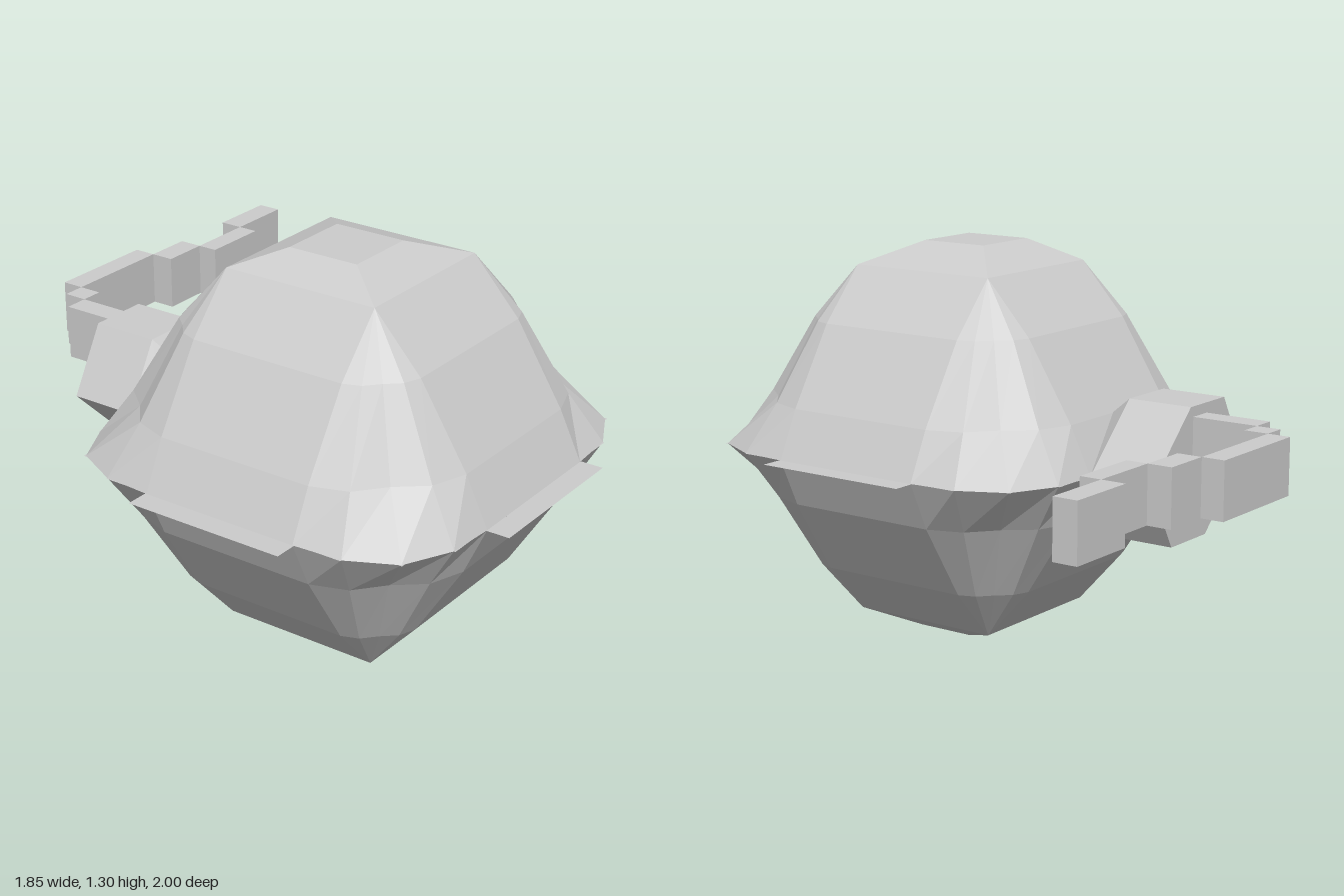
import * as THREE from 'three';

// Skin a list of closed rings (arrays of [x, y, z]) and cap both ends
function loft(rings) {
  const pos = [], n = rings[0].length;
  const tri = (a, b, c) => pos.push(...a, ...b, ...c);
  for (let i = 0; i < rings.length - 1; i++) {
    for (let j = 0; j < n; j++) {
      const k = (j + 1) % n;
      const a = rings[i][j], b = rings[i][k], c = rings[i + 1][k], d = rings[i + 1][j];
      tri(a, b, c);
      tri(a, c, d);
    }
  }
  const first = rings[0], last = rings[rings.length - 1];
  for (let j = 1; j < n - 1; j++) {
    tri(first[0], first[j + 1], first[j]);
    tri(last[0], last[j], last[j + 1]);
  }
  const g = new THREE.BufferGeometry();
  g.setAttribute('position', new THREE.Float32BufferAttribute(pos, 3));
  g.computeVertexNormals();
  return g;
}

// Repeat one corner's points around the four quadrants
function fourCorners(corner) {
  const out = [];
  let pts = corner;
  for (let q = 0; q < 4; q++) {
    out.push(...pts);
    pts = pts.map(([x, z]) => [z, -x]);
  }
  return out;
}

export function createModel() {
  const model = new THREE.Group();
  const grey = new THREE.MeshStandardMaterial({ color: 0xcccccc, flatShading: true, side: THREE.DoubleSide });
  grey.name = 'light grey';
  const CX = -0.19, CZ = 0.265, MID = 0.645;

  const add = (name, geometry, parent = model) => {
    const mesh = new THREE.Mesh(geometry, grey);
    mesh.name = name;
    parent.add(mesh);
    return mesh;
  };

  // Faceted round body: four flat strips with corners that widen to the middle
  // level: [y, strip distance, bevel point along, bevel point out, corner, centre x, centre z, strip half width]
  const levels = [
    [0, 0.1, 0.1, 0.1, 0.1, -0.14, 0.265, 0.1],
    [0.06, 0.265, 0.265, 0.265, 0.265, CX, CZ, 0.265],
    [0.235, 0.425, 0.32, 0.405, 0.36, CX, CZ, 0.265],
    [0.485, 0.585, 0.38, 0.545, 0.455, CX, CZ, 0.265],
    [MID, 0.66, 0.425, 0.65, 0.575, CX, CZ, 0.265],
    [0.8, 0.585, 0.38, 0.545, 0.455, CX, CZ, 0.265],
    [1.055, 0.425, 0.32, 0.405, 0.36, CX, CZ, 0.265],
    [1.23, 0.265, 0.265, 0.265, 0.265, CX, CZ, 0.265],
    [1.3, 0.12, 0.12, 0.12, 0.12, -0.237, 0.28, 0.12],
  ];
  add('body', loft(levels.map(([y, r, along, out, c, cx, cz, w]) =>
    fourCorners([[r, -w], [out, -along], [c, -c], [along, -out], [w, -r]])
      .map(([x, z]) => [cx + x, y, cz + z]))));

  // Flat stepped rim around the middle
  const steps = [[0.735, 0.27], [0.655, 0.27], [0.655, 0.425], [0.58, 0.425], [0.58, 0.58],
    [0.425, 0.58], [0.425, 0.655], [0.27, 0.655], [0.27, 0.735]];
  const outline = fourCorners(steps.map(([x, z]) => [x, -z])).map(([x, z]) => new THREE.Vector2(x, -z));
  const rim = add('rim', new THREE.ShapeGeometry(new THREE.Shape(outline)).rotateX(-Math.PI / 2));
  rim.position.set(CX, MID, CZ);

  // Six-sided neck at the back with a tapered inner end
  const neckRing = (z, h, w) => [[w, 0], [0.1 * w / 0.27 - 0.05, h], [-0.1 * w / 0.27 - 0.05, h],
    [-w, 0], [-0.05, -h], [0.15, -h]].map(([x, y]) => [CX + x, MID + y, z]);
  add('neck', loft([neckRing(-0.62, 0.213, 0.27), neckRing(-0.395, 0.213, 0.27), neckRing(-0.31, 0.15, 0.2)]));

  // Fuse made of stepped blocks: [x0, x1, z0, z1]
  const fuse = new THREE.Group();
  fuse.name = 'fuse';
  model.add(fuse);
  const blocks = [
    [-0.235, -0.155, -0.845, -0.61],
    [-0.155, -0.08, -0.925, -0.845],
    [-0.08, 0.3, -1, -0.925],
    [0.3, 0.46, -0.925, -0.845],
    [0.46, 0.695, -0.845, -0.775],
    [0.695, 0.925, -0.925, -0.845],
  ];
  blocks.forEach(([x0, x1, z0, z1], i) => {
    const mesh = add('fuseBlock' + (i + 1), new THREE.BoxGeometry(x1 - x0, 0.18, z1 - z0), fuse);
    mesh.position.set((x0 + x1) / 2, 0.735, (z0 + z1) / 2);
  });

  return model;
}
